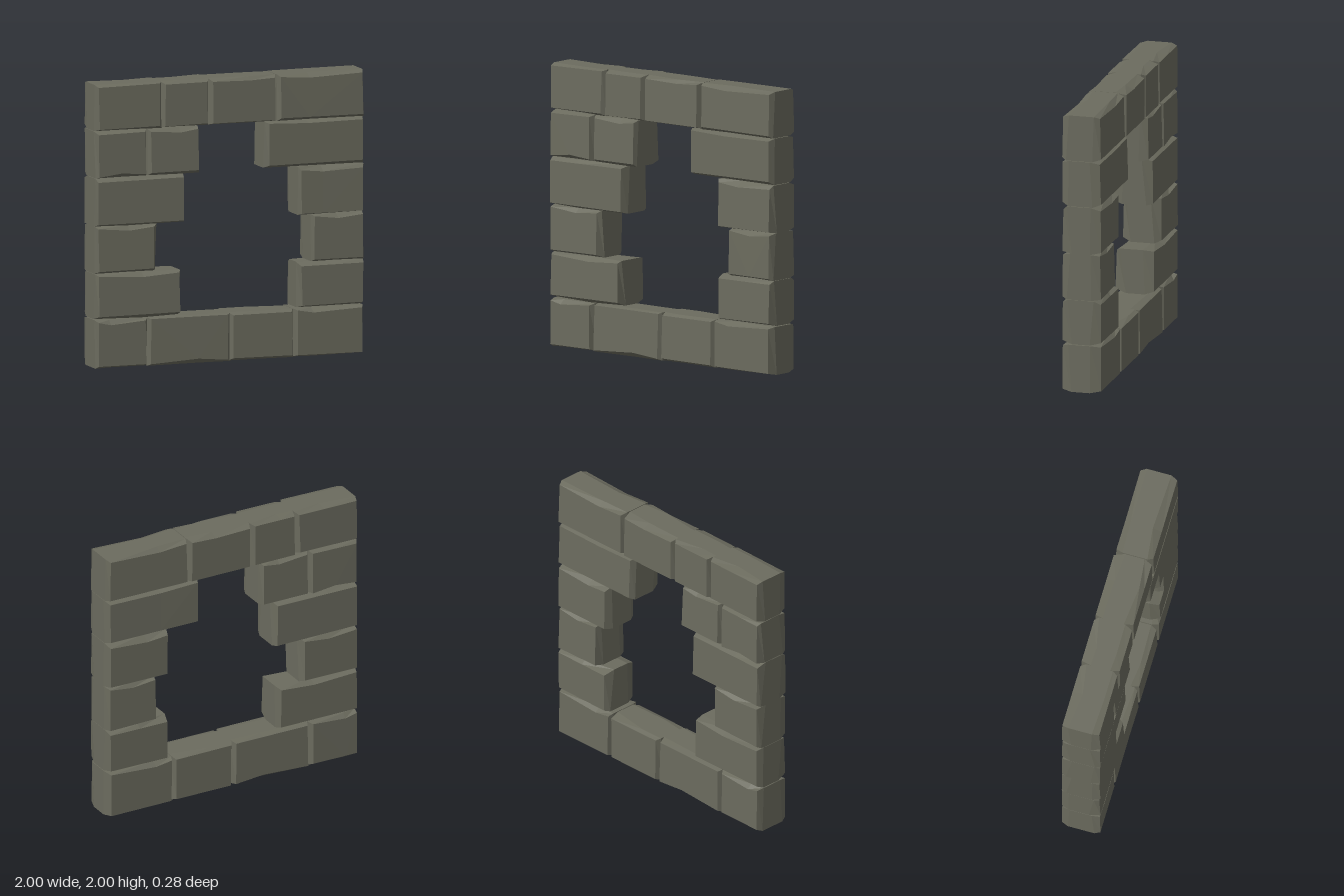
import * as THREE from 'three';

const DEPTH = 0.14; // half thickness of the wall

// Courses from the ground up. Each stone: x range, then how far its face
// is set back at left, right, bottom and top, then top and bottom chip depth.
const COURSES = [
  { y: [0, 0.34], stones: [
    [-1, -0.615, 0.012, 0.022, 0.02, 0.012, 0.02, 0],
    [-0.615, -0.002, 0.018, 0.02, 0.015, 0.012, 0, 0.02],
    [-0.002, 0.475, 0.02, 0.018, 0.02, 0.015, 0, 0],
    [0.48, 1, 0.015, 0.02, 0.015, 0.012, 0.02, 0]] },
  { y: [0.345, 0.665], stones: [
    [-1, -0.37, 0.012, 0.012, 0.025, 0.012, 0.018, 0],
    [0.51, 1, 0.02, 0.015, 0.018, 0.025, 0, 0]] },
  { y: [0.667, 1], stones: [
    [-1, -0.548, 0.012, 0.025, 0.02, 0.012, 0.02, 0],
    [0.612, 1, 0.012, 0.018, 0.015, 0.012, 0.02, 0]] },
  { y: [1, 1.34], stones: [
    [-1, -0.333, 0.012, 0.022, 0.015, 0.022, 0, 0],
    [0.51, 1, 0.018, 0.018, 0.015, 0.025, 0.015, 0]] },
  { y: [1.343, 1.67], stones: [
    [-1, -0.62, 0.012, 0.018, 0.012, 0.015, 0, 0.018],
    [-0.61, -0.232, 0.018, 0.012, 0.018, 0.012, 0.018, 0],
    [0.263, 1, 0.02, 0.015, 0.022, 0.012, 0.008, 0]] },
  { y: [1.673, 2], stones: [
    [-1, -0.51, 0.015, 0.022, 0.02, 0.012, 0, 0],
    [-0.51, -0.152, 0.022, 0.022, 0.015, 0.015, 0, 0],
    [-0.152, 0.35, 0.02, 0.018, 0.015, 0.018, 0.008, 0],
    [0.355, 1, 0.018, 0.018, 0.018, 0.018, 0.015, 0]] },
];

function seeded(seed) {
  return () => (seed = (seed * 16807) % 2147483647) / 2147483647;
}

// A stone is four six-sided rings: back face, two belts, front face.
function stoneGeometry([x0, x1, l, r, b, t, chipTop, chipBottom], [y0, y1], random) {
  const vary = (low, high) => low + (high - low) * random();
  const split = vary(0.25, 0.75);
  const mid = x0 + (x1 - x0) * split;

  const belt = (sign) => [
    [x0, y0], [mid, y0], [x1, y0], [x1, y1], [mid, y1], [x0, y1],
  ].map(([x, y]) => [x, y, sign * vary(0.06, 0.11)]);

  const face = (sign) => {
    const top = vary(0.13, DEPTH);
    const j = () => vary(-0.004, 0.004);
    const bl = y0 + b + j(), br = y0 + b + j();
    const tl = y1 - t + j(), tr = y1 - t + j();
    const low = bl + (br - bl) * split + chipBottom;
    const high = tl + (tr - tl) * split - chipTop;
    return [
      [x0 + l + j(), bl, DEPTH], [mid, low, DEPTH], [x1 - r + j(), br, DEPTH],
      [x1 - r + j(), tr, top], [mid, high, top], [x0 + l + j(), tl, top],
    ].map(([x, y, z]) => [x, y, sign * z]);
  };

  const rings = [face(-1), belt(-1), belt(1), face(1)];
  const index = [];
  for (let k = 0; k < 3; k++) {
    for (let i = 0; i < 6; i++) {
      const a = k * 6 + i, c = k * 6 + (i + 1) % 6;
      index.push(a, c, c + 6, a, c + 6, a + 6);
    }
  }
  // Front and back faces fan out from the middle of the bottom edge
  for (const [p, q] of [[2, 3], [3, 4], [4, 5], [5, 0]]) {
    index.push(19, 18 + p, 18 + q, 1, q, p);
  }

  const geometry = new THREE.BufferGeometry();
  geometry.setAttribute('position', new THREE.Float32BufferAttribute(rings.flat(2), 3));
  geometry.setIndex(index);
  const flat = geometry.toNonIndexed();
  flat.computeVertexNormals();
  return flat;
}

export function createModel() {
  const wall = new THREE.Group();
  wall.name = 'stoneWallWithOpening';
  const material = new THREE.MeshStandardMaterial({ color: 0x6b6b5e, flatShading: true });
  const random = seeded(4711);

  COURSES.forEach(({ y, stones }, row) => {
    const course = new THREE.Group();
    course.name = `course${row + 1}`;
    stones.forEach((stone, i) => {
      const mesh = new THREE.Mesh(stoneGeometry(stone, y, random), material);
      mesh.name = `stone${i + 1}`;
      course.add(mesh);
    });
    wall.add(course);
  });
  return wall;
}
